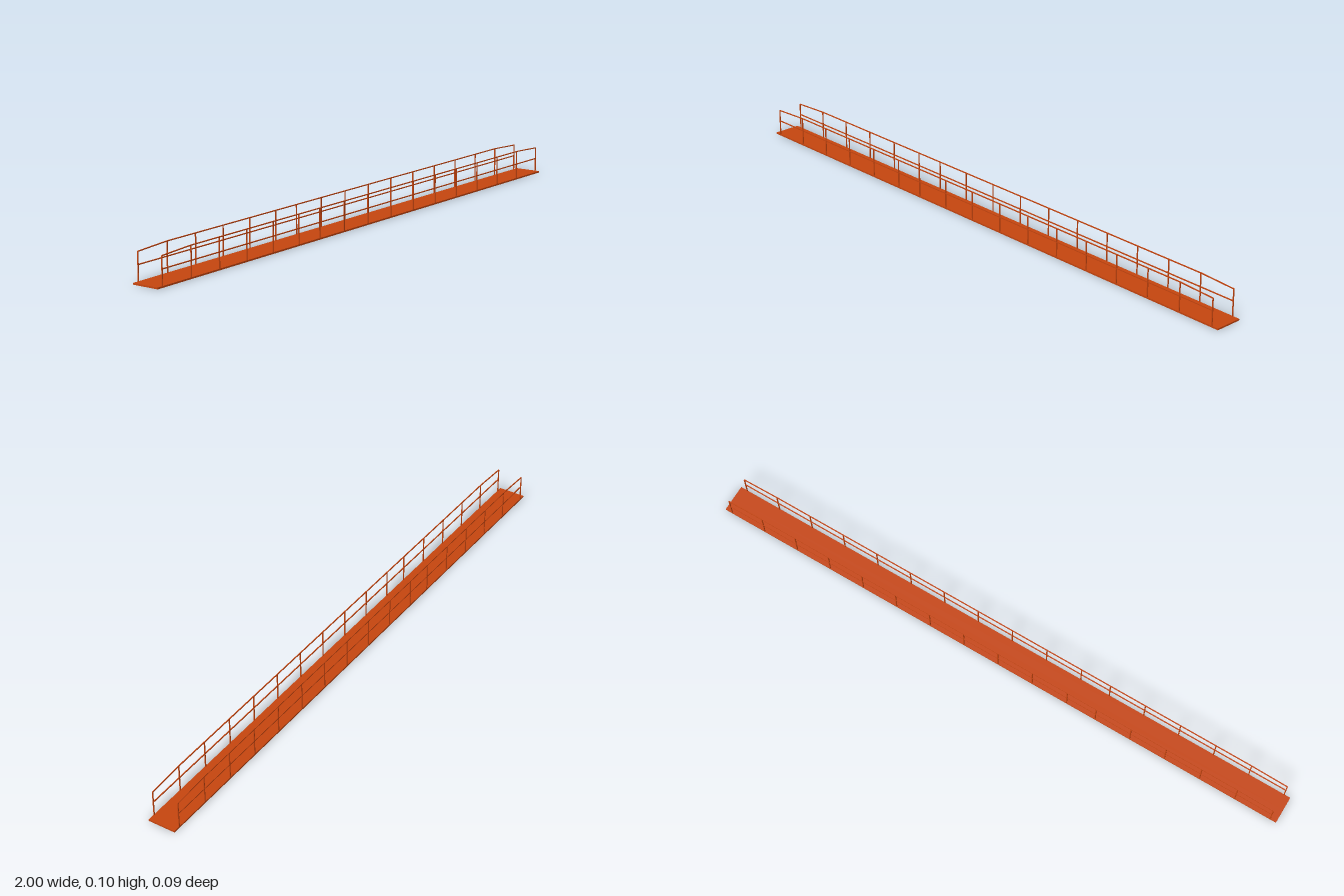
import * as THREE from 'three';

const paint = new THREE.MeshStandardMaterial({ color: 0xc8460f });
const T = 0.003;        // bar thickness
const DECK = 0.005;     // deck thickness
const TOP = 0.0965;     // height of the handrail centre line
const END = 0.0905;     // handrail centre height at both ends
const RAIL_Z = 0.0435;

function box(name, w, h, d, x, y, z) {
  const mesh = new THREE.Mesh(new THREE.BoxGeometry(w, h, d), paint);
  mesh.name = name;
  mesh.position.set(x, y, z);
  return mesh;
}

// Square bar between two points of the railing's plane
function bar(name, [x0, y0], [x1, y1]) {
  const mesh = box(name, Math.hypot(x1 - x0, y1 - y0), T, T, (x0 + x1) / 2, (y0 + y1) / 2, 0);
  mesh.rotation.z = Math.atan2(y1 - y0, x1 - x0);
  return mesh;
}

// Post positions: two evenly spaced runs with a shorter bay between them
const postX = [];
for (let i = 0; i < 6; i++) postX.push(-0.979 + 0.123 * i);
for (let i = 0; i < 11; i++) postX.push(-0.262 + 0.1238 * i);

function createRailing(name, z) {
  const railing = new THREE.Group();
  railing.name = name;
  railing.position.z = z;
  const last = postX.length - 1;

  postX.forEach((x, i) => {
    const top = i === 0 || i === last ? END : TOP;
    railing.add(box('post', T, top, T, x, top / 2, 0));
  });

  // Handrail dips towards both ends
  const path = [[postX[0], END], [postX[1], TOP], [postX[last - 1], TOP], [postX[last], END]];
  for (let i = 0; i < 3; i++) railing.add(bar('handrail', path[i], path[i + 1]));
  railing.add(bar('midRail', [postX[0], 0.053], [postX[last], 0.053]));
  return railing;
}

export function createModel() {
  const walkway = new THREE.Group();
  walkway.name = 'walkway';

  // Deck of two long plates meeting along the centre line
  for (const side of [-1, 1]) {
    walkway.add(box('deckPlate', 2, DECK, 0.045, 0, DECK / 2, side * 0.0225));
  }
  walkway.add(createRailing('frontRailing', RAIL_Z), createRailing('backRailing', -RAIL_Z));
  return walkway;
}
